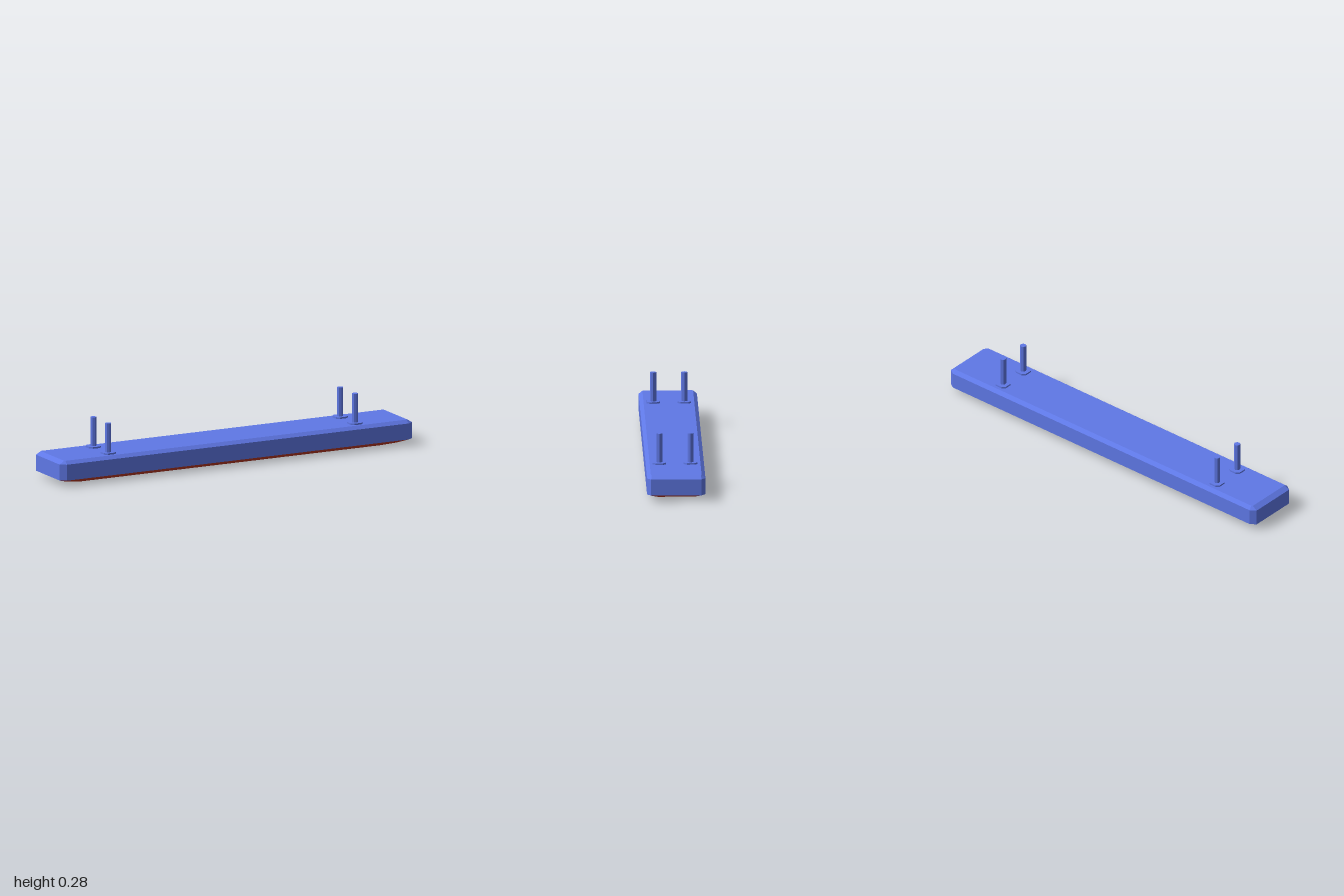
import * as THREE from 'three';

const blue = new THREE.MeshStandardMaterial({ color: 0x5f78e6 });
const rust = new THREE.MeshStandardMaterial({ color: 0xc83c26 });
blue.name = 'casing blue';
rust.name = 'underside rust';

// Rectangle with cut corners at height y; a and b are half sizes in x and z
function ring(y, a, b, cx, cz) {
  return [
    [a, y, b - cz], [a, y, cz - b], [a - cx, y, -b], [cx - a, y, -b],
    [-a, y, cz - b], [-a, y, b - cz], [cx - a, y, b], [a - cx, y, b],
  ];
}

// Skin rings listed from bottom to top, optionally closing either end
function loft(rings, capBottom, capTop) {
  const n = rings[0].length;
  const index = [];
  for (let r = 0; r < rings.length - 1; r++) {
    for (let i = 0; i < n; i++) {
      const j = (i + 1) % n;
      const a = r * n + i, b = r * n + j;
      index.push(a, b, b + n, a, b + n, a + n);
    }
  }
  const last = (rings.length - 1) * n;
  for (let i = 1; i < n - 1; i++) {
    if (capBottom) index.push(0, i + 1, i);
    if (capTop) index.push(last, last + i, last + i + 1);
  }
  const geo = new THREE.BufferGeometry();
  geo.setAttribute('position', new THREE.Float32BufferAttribute(rings.flat(2), 3));
  geo.setIndex(index);
  return geo;
}

// Flat facets from an indexed geometry
function faceted(geo) {
  const flat = geo.toNonIndexed();
  flat.computeVertexNormals();
  return flat;
}

function addMesh(parent, name, geo, material) {
  const mesh = new THREE.Mesh(geo, material);
  mesh.name = name;
  parent.add(mesh);
  return mesh;
}

export function createModel() {
  const model = new THREE.Group();
  model.name = 'panelOnStuds';

  // Casing with bevelled top edge
  addMesh(model, 'casing', faceted(loft([
    ring(0.03, 1, 0.146, 0.03, 0.02),
    ring(0.112, 1, 0.146, 0.03, 0.02),
    ring(0.128, 0.973, 0.127, 0.006, 0.004),
  ], false, true)), blue);

  // Softly domed underside
  const underside = loft([
    ring(0, 0.88, 0.077, 0.03, 0.02),
    ring(0.013, 0.95, 0.112, 0.03, 0.02),
    ring(0.03, 1, 0.146, 0.03, 0.02),
  ], true, false);
  underside.computeVertexNormals();
  addMesh(model, 'underside', underside, rust);

  // Four mounting studs on square washers with cut corners
  const studGeo = faceted(new THREE.CylinderGeometry(0.016, 0.016, 0.147, 8));
  const washerGeo = faceted(loft([
    ring(0, 0.034, 0.034, 0.015, 0.015),
    ring(0.008, 0.034, 0.034, 0.015, 0.015),
  ], false, true));
  for (const x of [-0.7, 0.7]) {
    for (const z of [-0.077, 0.079]) {
      const mount = new THREE.Group();
      mount.name = 'mountingStud';
      mount.position.set(x, 0.128, z);
      addMesh(mount, 'washer', washerGeo, blue);
      addMesh(mount, 'stud', studGeo, blue).position.y = 0.0815;
      model.add(mount);
    }
  }
  return model;
}
